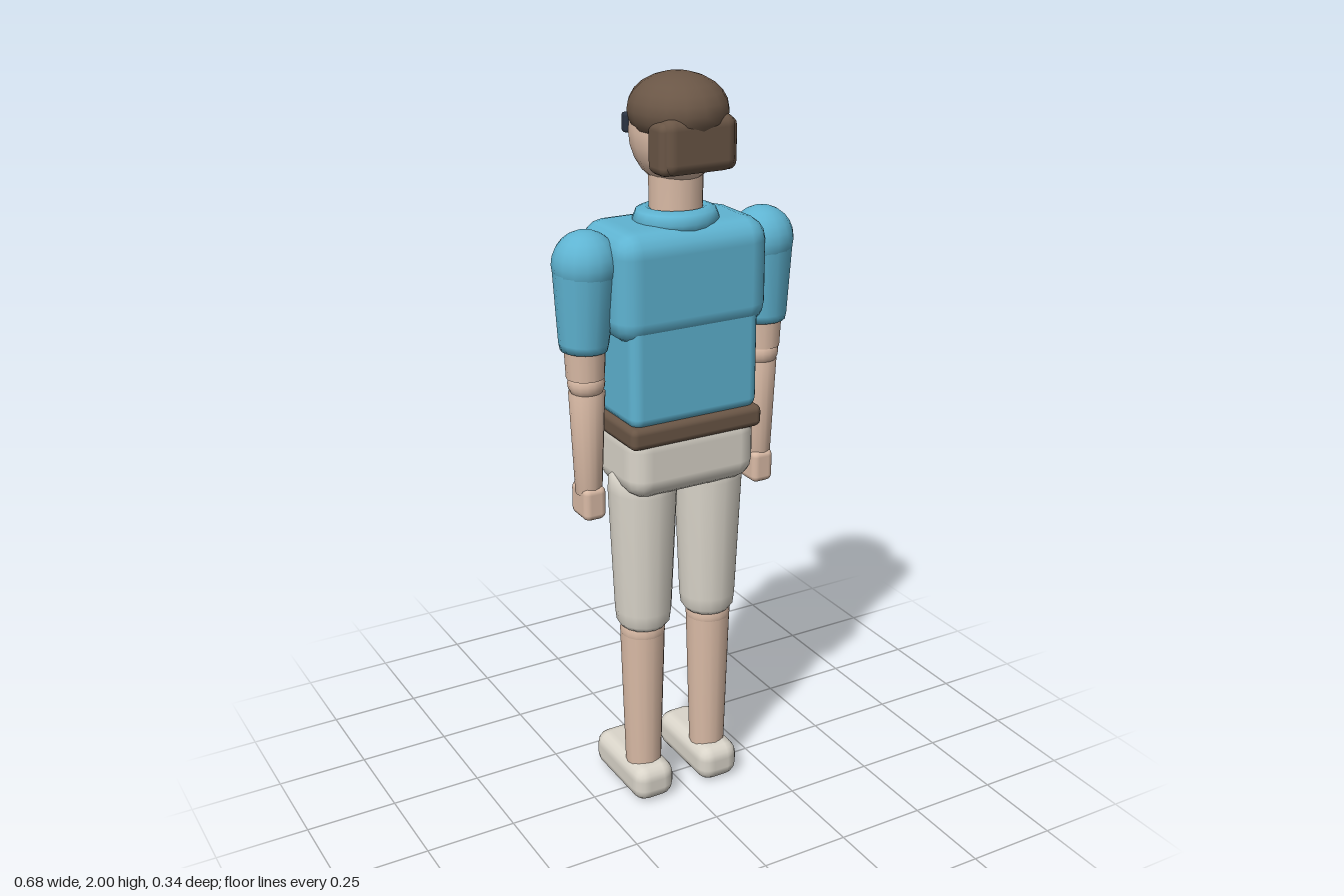
import * as THREE from 'three';
import { RoundedBoxGeometry } from 'three/addons/geometries/RoundedBoxGeometry.js';

const material = (name, color) => {
  const m = new THREE.MeshStandardMaterial({ color });
  m.name = name;
  return m;
};

export function createModel() {
  const shirt = material('blue shirt', 0x5fb4d2);
  const skin = material('skin', 0xdabba6);
  const cream = material('cream cloth', 0xdad5ca);
  const brown = material('brown', 0x6a5646);
  const dark = material('dark lens', 0x2b3443);
  const model = new THREE.Group();
  model.name = 'standingFigure';

  const add = (parent, name, geometry, mat, x = 0, y = 0, z = 0) => {
    const mesh = new THREE.Mesh(geometry, mat);
    mesh.name = name;
    mesh.position.set(x, y, z);
    parent.add(mesh);
    return mesh;
  };
  // Soft box given by its lower and upper limits
  const softBox = (parent, name, mat, [x0, x1], [y0, y1], [z0, z1], r) =>
    add(parent, name, new RoundedBoxGeometry(x1 - x0, y1 - y0, z1 - z0, 2, r), mat,
      (x0 + x1) / 2, (y0 + y1) / 2, (z0 + z1) / 2);
  const ellipsoid = (parent, name, mat, [x, y, z], [rx, ry, rz]) =>
    add(parent, name, new THREE.SphereGeometry(1, 16, 12).scale(rx, ry, rz), mat, x, y, z);
  // Turned part; profile runs from bottom to top as [radius, height]
  const turned = (parent, name, mat, profile, x, z) =>
    add(parent, name, new THREE.LatheGeometry(profile.map(([r, y]) => new THREE.Vector2(r, y)), 16), mat, x, 0, z);

  // Torso
  softBox(model, 'chest', shirt, [-0.217, 0.217], [1.355, 1.64], [-0.118, 0.14], 0.062);
  softBox(model, 'abdomen', shirt, [-0.185, 0.185], [1.135, 1.42], [-0.09, 0.133], 0.03);
  softBox(model, 'belt', brown, [-0.192, 0.192], [1.085, 1.145], [-0.098, 0.142], 0.018);
  softBox(model, 'hips', cream, [-0.188, 0.188], [0.935, 1.13], [-0.093, 0.137], 0.058);
  const collar = new THREE.TorusGeometry(0.078, 0.031, 8, 20).rotateX(Math.PI / 2).scale(1.03, 1, 0.93);
  add(model, 'collar', collar, shirt, 0, 1.642, 0.02);

  // Head and neck
  turned(model, 'neck', skin, [[0.068, 1.6], [0.068, 1.7], [0.07, 1.79]], 0, 0.02);
  ellipsoid(model, 'head', skin, [0, 1.857, 0.012], [0.11, 0.137, 0.13]);
  ellipsoid(model, 'hairCap', brown, [0, 1.91, 0.03], [0.123, 0.09, 0.136]);
  softBox(model, 'backHair', brown, [-0.1, 0.1], [1.77, 1.91], [0.075, 0.154], 0.03);

  // Mirrored parts
  for (const s of [-1, 1]) {
    const side = new THREE.Group();
    side.name = s > 0 ? 'leftSide' : 'rightSide';
    model.add(side);
    const span = (a, b) => [Math.min(s * a, s * b), Math.max(s * a, s * b)];

    softBox(side, 'hairLock', brown, span(0.06, 0.108), [1.77, 1.9], [0.062, 0.143], 0.022);
    softBox(side, 'lens', dark, span(0.035, 0.085), [1.838, 1.888], [-0.108, -0.082], 0.008);

    // Arm
    ellipsoid(side, 'shoulder', shirt, [s * 0.254, 1.556, 0.02], [0.084, 0.084, 0.084]);
    const sleeve = turned(side, 'sleeve', shirt,
      [[0, -0.22], [0.06, -0.22], [0.064, -0.2], [0.082, 0]], s * 0.255, 0.02);
    sleeve.position.y = 1.558;
    sleeve.rotation.z = s * 0.035;
    turned(side, 'upperArm', skin, [[0.049, 1.265], [0.053, 1.35]], s * 0.26, 0.02);
    ellipsoid(side, 'elbow', skin, [s * 0.258, 1.25, 0.02], [0.048, 0.045, 0.048]);
    turned(side, 'forearm', skin, [[0, 0.95], [0.035, 0.95], [0.047, 1.225], [0, 1.235]], s * 0.256, 0.018);
    softBox(side, 'hand', skin, span(0.222, 0.286), [0.88, 0.972], [-0.032, 0.058], 0.018);

    // Leg
    turned(side, 'shortsLeg', cream,
      [[0, 0.53], [0.062, 0.53], [0.073, 0.545], [0.077, 0.58], [0.092, 0.93], [0.088, 0.99], [0, 1.03]],
      s * 0.1, 0.02);
    ellipsoid(side, 'knee', skin, [s * 0.103, 0.515, 0.02], [0.062, 0.06, 0.062]);
    turned(side, 'lowerLeg', skin, [[0.048, 0.06], [0.05, 0.11], [0.061, 0.505], [0.055, 0.515]], s * 0.103, 0.02);
    softBox(side, 'shoe', cream, span(0.042, 0.165), [0, 0.108], [-0.17, 0.106], 0.04);
  }
  return model;
}
